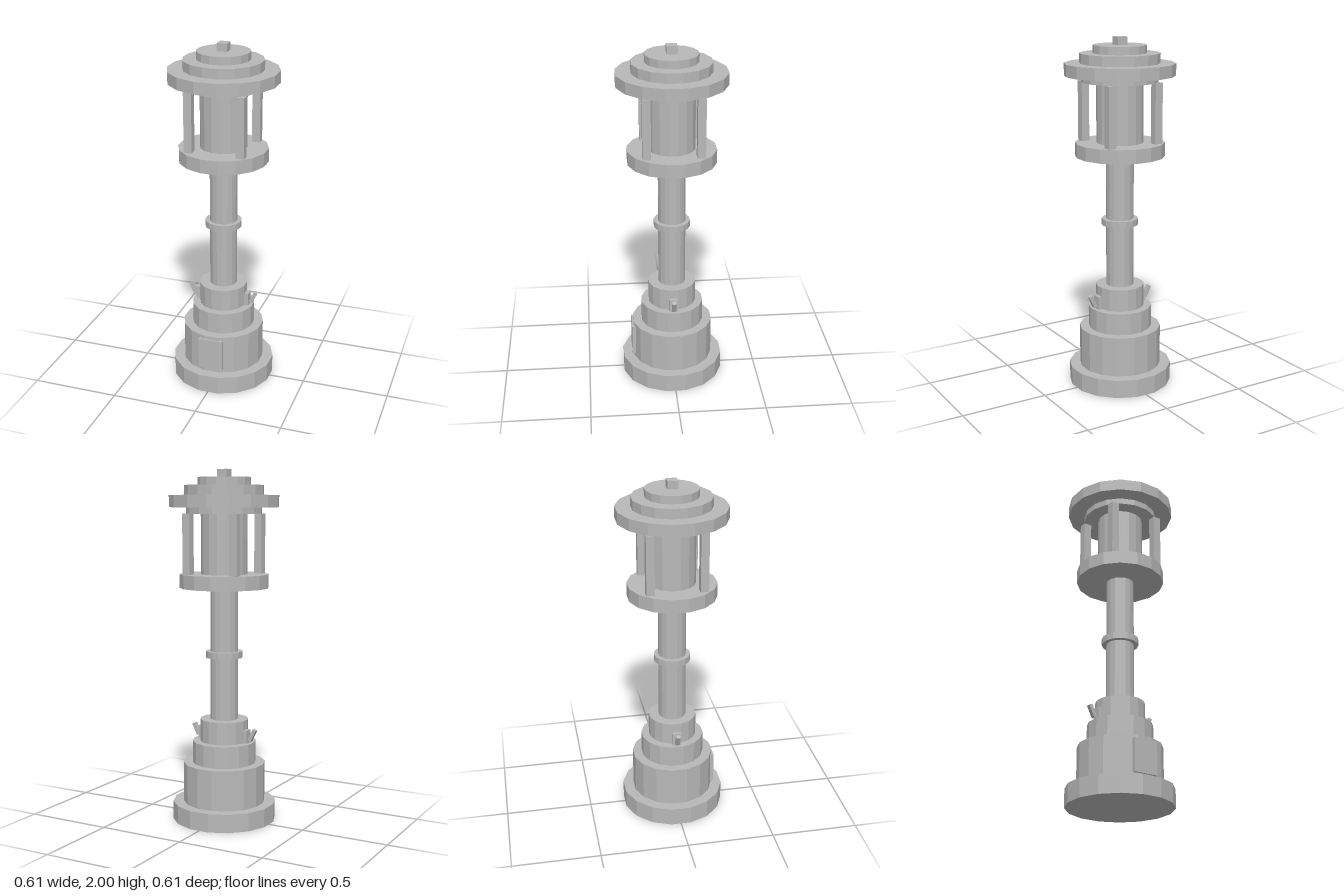
import * as THREE from 'three';

const SIDES = 16;

export function createModel() {
  const model = new THREE.Group();
  model.name = 'lampPost';

  const stone = new THREE.MeshStandardMaterial({ color: 0xb8b8b8 });
  stone.name = 'grey';
  stone.flatShading = true;

  const add = (name, geometry, parent = model) => {
    const mesh = new THREE.Mesh(geometry, stone);
    mesh.name = name;
    parent.add(mesh);
    return mesh;
  };

  // Sixteen-sided drum with a flat facing each axis; r is measured to the flats
  const drum = (name, r, y0, y1) => {
    const R = r / Math.cos(Math.PI / SIDES);
    const g = new THREE.CylinderGeometry(R, R, y1 - y0, SIDES);
    g.rotateY(Math.PI / SIDES);
    add(name, g).position.y = (y0 + y1) / 2;
  };

  // Stacked drums from ground to roof: name, radius, bottom, top
  [
    ['plinth', 0.29, 0, 0.105],
    ['baseDrum', 0.23, 0.105, 0.335],
    ['middleTier', 0.178, 0.335, 0.46],
    ['upperTier', 0.135, 0.46, 0.588],
    ['pole', 0.077, 0.588, 1.34],
    ['poleRing', 0.102, 0.943, 0.98],
    ['lanternFloor', 0.247, 1.34, 1.418],
    ['lanternCore', 0.129, 1.418, 1.755],
    ['lanternCollar', 0.209, 1.755, 1.79],
    ['roofBrim', 0.303, 1.79, 1.857],
    ['roofTier', 0.219, 1.857, 1.912],
    ['roofCap', 0.146, 1.912, 1.956],
  ].forEach((d) => drum(...d));

  // Square finial
  add('finial', new THREE.BoxGeometry(0.059, 0.044, 0.059)).position.y = 1.978;

  // Four lantern posts on the diagonals
  for (const sx of [-1, 1]) {
    for (const sz of [-1, 1]) {
      add('lanternPost', new THREE.BoxGeometry(0.046, 0.337, 0.046))
        .position.set(sx * 0.148, 1.5865, sz * 0.148);
    }
  }

  // Access door on the front of the base
  add('door', new THREE.BoxGeometry(0.143, 0.185, 0.024)).position.set(0, 0.222, 0.228);

  // Bracket and tilted lever on each side
  for (const s of [-1, 1]) {
    const fitting = new THREE.Group();
    fitting.name = s > 0 ? 'leftFitting' : 'rightFitting';
    add('bracket', new THREE.BoxGeometry(0.024, 0.075, 0.048), fitting)
      .position.set(s * 0.146, 0.497, 0);
    const lever = add('lever', new THREE.BoxGeometry(0.021, 0.073, 0.024), fitting);
    lever.position.set(s * 0.183, 0.508, 0);
    lever.rotation.z = -s * 0.45;
    model.add(fitting);
  }

  return model;
}
